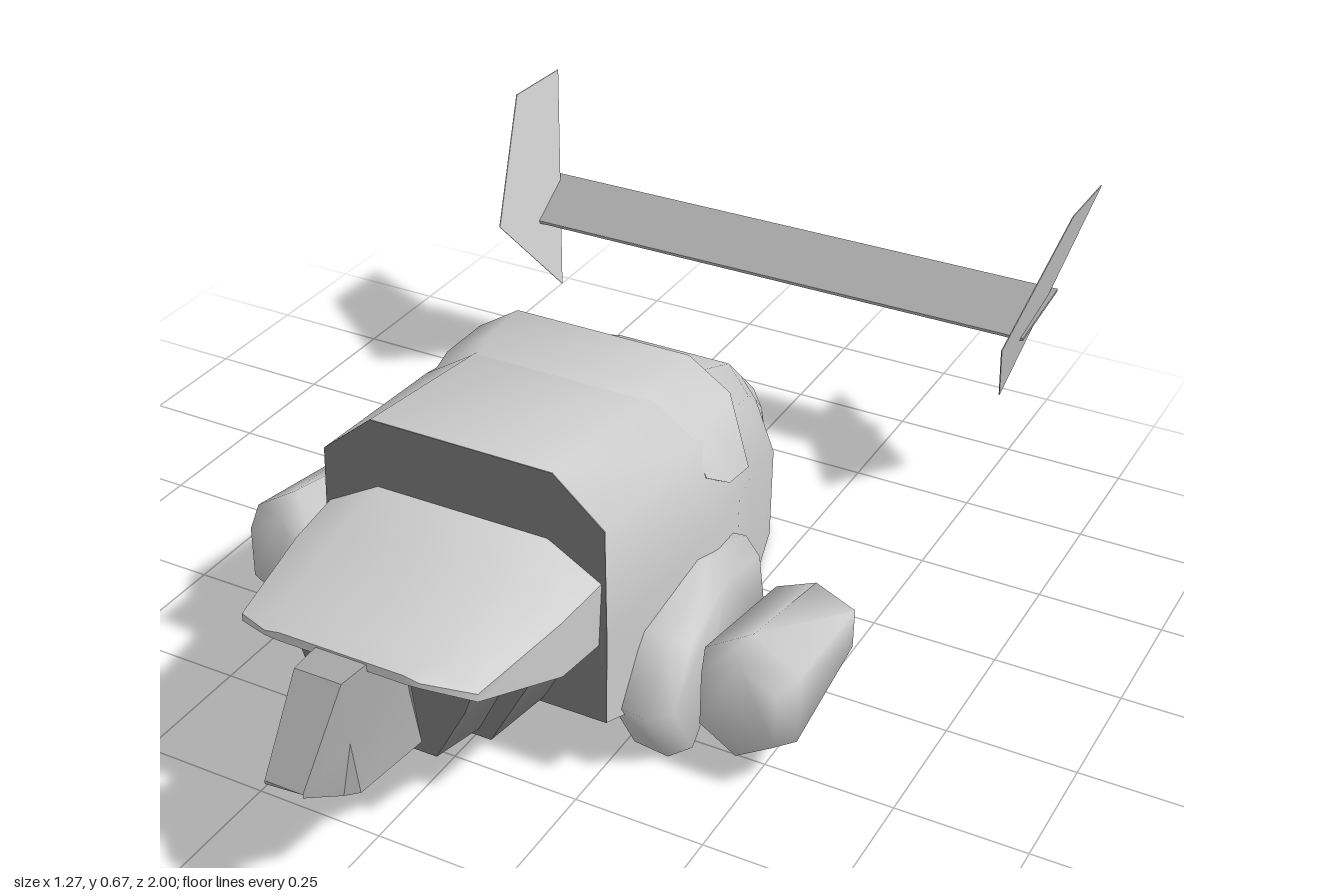
import * as THREE from 'three';
import { toCreasedNormals } from 'three/addons/utils/BufferGeometryUtils.js';

const grey = new THREE.MeshStandardMaterial({ color: 0xcccccc });
const midGrey = new THREE.MeshStandardMaterial({ color: 0xa6a6a6 });
const darkGrey = new THREE.MeshStandardMaterial({ color: 0x7a7a7a });

// Skin over a row of closed rings ([x, y, z] points) with capped ends.
function loft(name, rings, { crease = 0.6, material = grey } = {}) {
  const n = rings[0].length;
  const pos = rings.flat(2);
  const index = [];
  for (let r = 0; r < rings.length - 1; r++) {
    for (let i = 0; i < n; i++) {
      const a = r * n + i, b = r * n + (i + 1) % n;
      index.push(a, b, b + n, a, b + n, a + n);
    }
  }
  const last = (rings.length - 1) * n;
  for (let i = 1; i < n - 1; i++) {
    index.push(0, i + 1, i, last, last + i, last + i + 1);
  }
  // Turn the faces outward if the enclosed volume is negative
  const v = (i) => new THREE.Vector3().fromArray(pos, i * 3);
  let volume = 0;
  for (let t = 0; t < index.length; t += 3) {
    volume += v(index[t]).dot(v(index[t + 1]).cross(v(index[t + 2])));
  }
  if (volume < 0) index.reverse();
  const geometry = new THREE.BufferGeometry();
  geometry.setAttribute('position', new THREE.Float32BufferAttribute(pos, 3));
  geometry.setIndex(index);
  const mesh = new THREE.Mesh(toCreasedNormals(geometry, crease), material);
  mesh.name = name;
  return mesh;
}

// Symmetric ring at depth z from the left half, listed top to bottom.
const ring = (z, half) => [
  ...half.map(([x, y, dz = 0]) => [x, y, z + dz]),
  ...half.map(([x, y, dz = 0]) => [-x, y, z + dz]).reverse(),
];

export function createModel() {
  const model = new THREE.Group();

  // Main hull: flat front, rounded back sloping down to a narrow tail
  const hullFront = [[0.18, 0.63], [0.28, 0.545], [0.285, 0.33], [0.285, 0.15]];
  model.add(loft('hull', [
    ring(0.45, hullFront),
    ring(0.12, [[0.18, 0.595], [0.28, 0.53], [0.33, 0.38], [0.315, 0.042]]),
    ring(-0.01, [[0.18, 0.575], [0.27, 0.52], [0.31, 0.36], [0.31, 0]]),
    ring(-0.15, [[0.16, 0.525], [0.235, 0.47], [0.27, 0.33], [0.27, 0]]),
    ring(-0.35, [[0.12, 0.43], [0.165, 0.37], [0.21, 0.25], [0.21, 0]]),
    ring(-0.44, [[0.105, 0.355], [0.14, 0.31], [0.185, 0.2], [0.185, 0.002]]),
    ring(-0.54, [[0.09, 0.27], [0.11, 0.23], [0.12, 0.14], [0.12, 0.004]]),
    ring(-0.63, [[0.075, 0.13], [0.08, 0.11], [0.08, 0.07], [0.08, 0.005]]),
  ], { crease: 0.9 }));

  // Dark bulkhead closing the hull's front
  model.add(loft('bulkhead', [ring(0.449, hullFront), ring(0.452, hullFront)],
    { material: darkGrey }));

  // Raised collar across the back of the hull, rising from its surface
  model.add(loft('collar', [
    ring(0.11, [[0.17, 0.592], [0.27, 0.53], [0.3, 0.47], [0.24, 0.45]]),
    ring(0.06, [[0.18, 0.606], [0.27, 0.55], [0.322, 0.44], [0.24, 0.43]]),
    ring(-0.05, [[0.18, 0.61], [0.265, 0.555], [0.308, 0.41], [0.24, 0.41]]),
  ], { crease: 0.9 }));

  // Hood overhanging the front
  model.add(loft('hood', [
    ring(0.44, [[0.17, 0.5], [0.275, 0.44], [0.27, 0.31], [0.22, 0.34]]),
    ring(0.57, [[0.17, 0.48], [0.265, 0.43], [0.265, 0.32], [0.2, 0.345]]),
    ring(0.78, [[0.15, 0.445], [0.23, 0.41], [0.23, 0.395], [0.16, 0.39]]),
    ring(0.825, [[0.12, 0.437], [0.15, 0.432], [0.15, 0.422], [0.12, 0.42]]),
  ], { crease: 0.9 }));

  // Stepped jaw beneath the hood
  model.add(loft('jaw', [
    ring(0.44, [[0.25, 0.35], [0.235, 0.3], [0.16, 0.16]]),
    ring(0.6, [[0.23, 0.35], [0.215, 0.3], [0.14, 0.16]]),
  ], { material: darkGrey }));
  model.add(loft('jawFront', [
    ring(0.58, [[0.2, 0.36], [0.18, 0.3], [0.12, 0.175]]),
    ring(0.71, [[0.18, 0.36], [0.16, 0.3], [0.1, 0.185]]),
  ], { material: darkGrey }));

  // Wedge-shaped snout
  model.add(loft('snout', [
    ring(0.73, [[0.055, 0.43], [0.065, 0.32], [0.085, 0.225]]),
    ring(0.89, [[0.045, 0.435], [0.055, 0.32], [0.07, 0.225]]),
    ring(1.0, [[0.037, 0.287], [0.037, 0.28], [0.05, 0.225, -0.09]]),
  ], { crease: 0.3, material: midGrey }));

  // Side outlines as [z, y], pod outline as [x, y]
  const mountOutline = [[0.18, 0.345], [0.34, 0.28], [0.41, 0.15], [0.32, 0.005],
    [0.25, 0.07], [-0.02, 0.14], [0.02, 0.31]];
  const finOutline = [[-0.82, 0.67], [-1, 0.665], [-0.82, 0.235], [-0.64, 0.44]];
  const podOutline = [[0, 0.13], [0.092, 0.07], [0.092, -0.07],
    [0, -0.13], [-0.092, -0.07], [-0.092, 0.07]];

  for (const side of [1, -1]) {
    const prefix = side > 0 ? 'left' : 'right';

    // Softly rounded bracket between hull and pod, tapering outward
    const mountRing = (x, s) => mountOutline.map(([z, y]) =>
      [side * x, 0.17 + (y - 0.17) * s, 0.19 + (z - 0.19) * s]);
    model.add(loft(prefix + 'Mount', [
      mountRing(0.27, 0.97), mountRing(0.34, 1), mountRing(0.38, 0.86),
    ], { crease: 1.4 }));

    // Smooth six-sided pod, narrower toward the back
    const podRing = (z, sx, sy) => podOutline.map(([x, y]) =>
      [side * (0.48 + x * sx), 0.17 + y * sy, z]);
    model.add(loft(prefix + 'Pod', [
      podRing(0.335, 0.78, 0.76), podRing(0.28, 1, 1), podRing(0.01, 0.86, 0.58),
    ], { crease: 1.4 }));

    // Thin tail fin leaning outward
    const finRing = (d) => finOutline.map(([z, y]) =>
      [side * (0.523 + (y - 0.235) * 0.256 + d), y, z]);
    model.add(loft(prefix + 'Fin', [finRing(-0.001), finRing(0.001)]));
  }

  // Thin tilted tail wing joining the fins
  model.add(loft('tailWing', [
    ring(-0.79, [[0.57, 0.395], [0.57, 0.389]]),
    ring(-0.925, [[0.59, 0.452], [0.59, 0.446]]),
  ], { material: midGrey }));

  return model;
}
